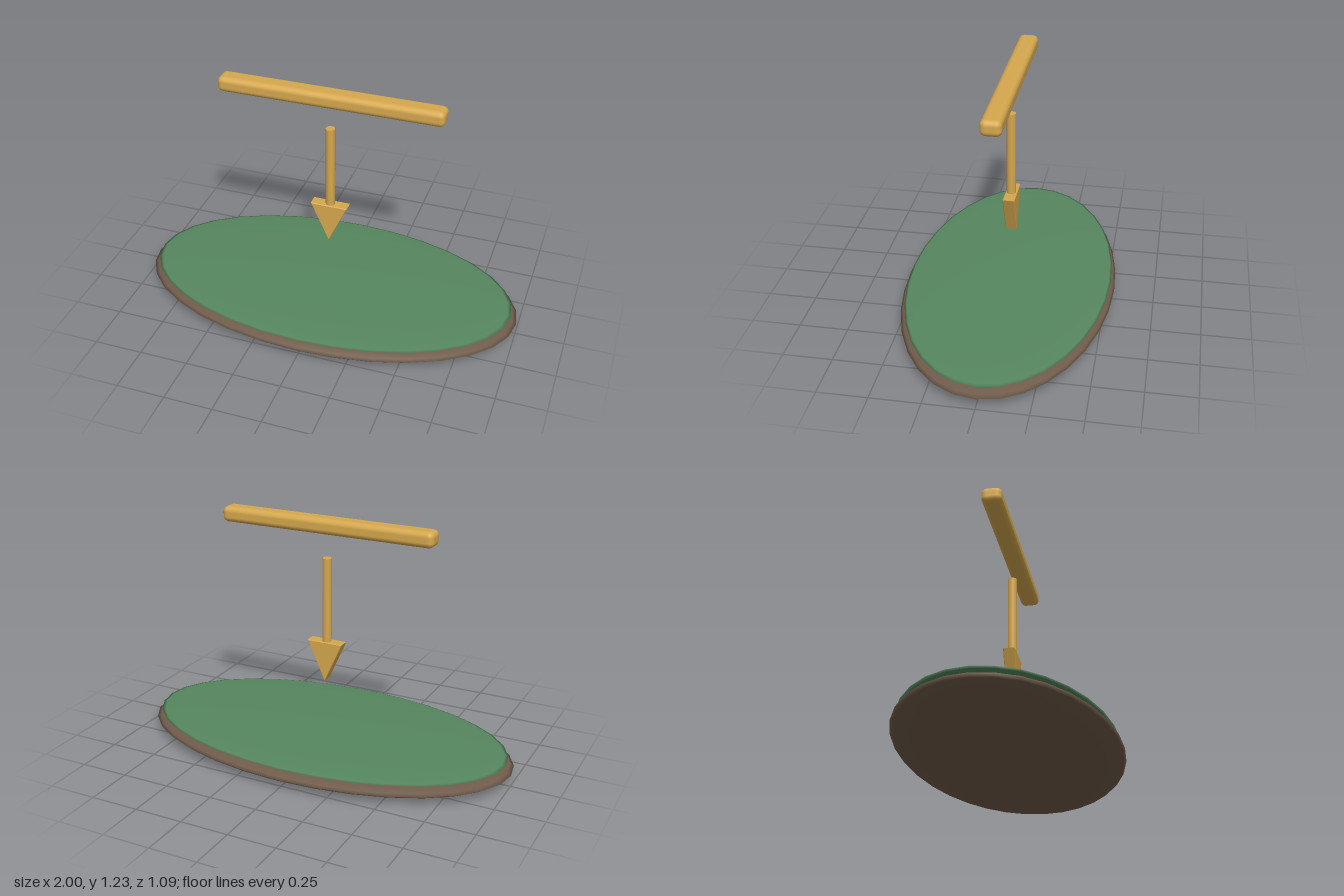
import * as THREE from 'three';
import { RoundedBoxGeometry } from 'three/addons/geometries/RoundedBoxGeometry.js';

export function createModel() {
  const model = new THREE.Group();
  const gold = new THREE.MeshStandardMaterial({ color: 0xd6a84e });
  const green = new THREE.MeshStandardMaterial({ color: 0x56875f });
  const brown = new THREE.MeshStandardMaterial({ color: 0x6f5b4a });

  const add = (name, geometry, material, y) => {
    const mesh = new THREE.Mesh(geometry, material);
    mesh.name = name;
    mesh.position.y = y;
    model.add(mesh);
    return mesh;
  };

  // Oval island: two flattened spheres, soil below and grass on top
  const disc = (name, material, y, rx, ry, rz) =>
    add(name, new THREE.SphereGeometry(1, 32, 16), material, y).scale.set(rx, ry, rz);
  disc('soilDisc', brown, 0.058, 1, 0.058, 0.545);
  disc('grassDisc', green, 0.104, 0.97, 0.017, 0.525);

  // Floating bar with rounded edges
  add('bar', new RoundedBoxGeometry(1.14, 0.08, 0.102, 3, 0.028), gold, 1.192);

  // Arrow pointing down at the island
  add('arrowShaft', new THREE.CylinderGeometry(0.024, 0.024, 0.44, 10), gold, 0.805);

  const triangle = new THREE.Shape([
    new THREE.Vector2(-0.096, 0.588),
    new THREE.Vector2(0, 0.376),
    new THREE.Vector2(0.096, 0.588),
  ]);
  const bevel = 0.004;
  const head = new THREE.ExtrudeGeometry(triangle, {
    depth: 0.06 - 2 * bevel,
    bevelThickness: bevel,
    bevelSize: bevel,
    bevelOffset: -bevel,
    bevelSegments: 1,
  });
  head.translate(0, 0, bevel - 0.03);
  add('arrowHead', head, gold, 0);

  return model;
}
